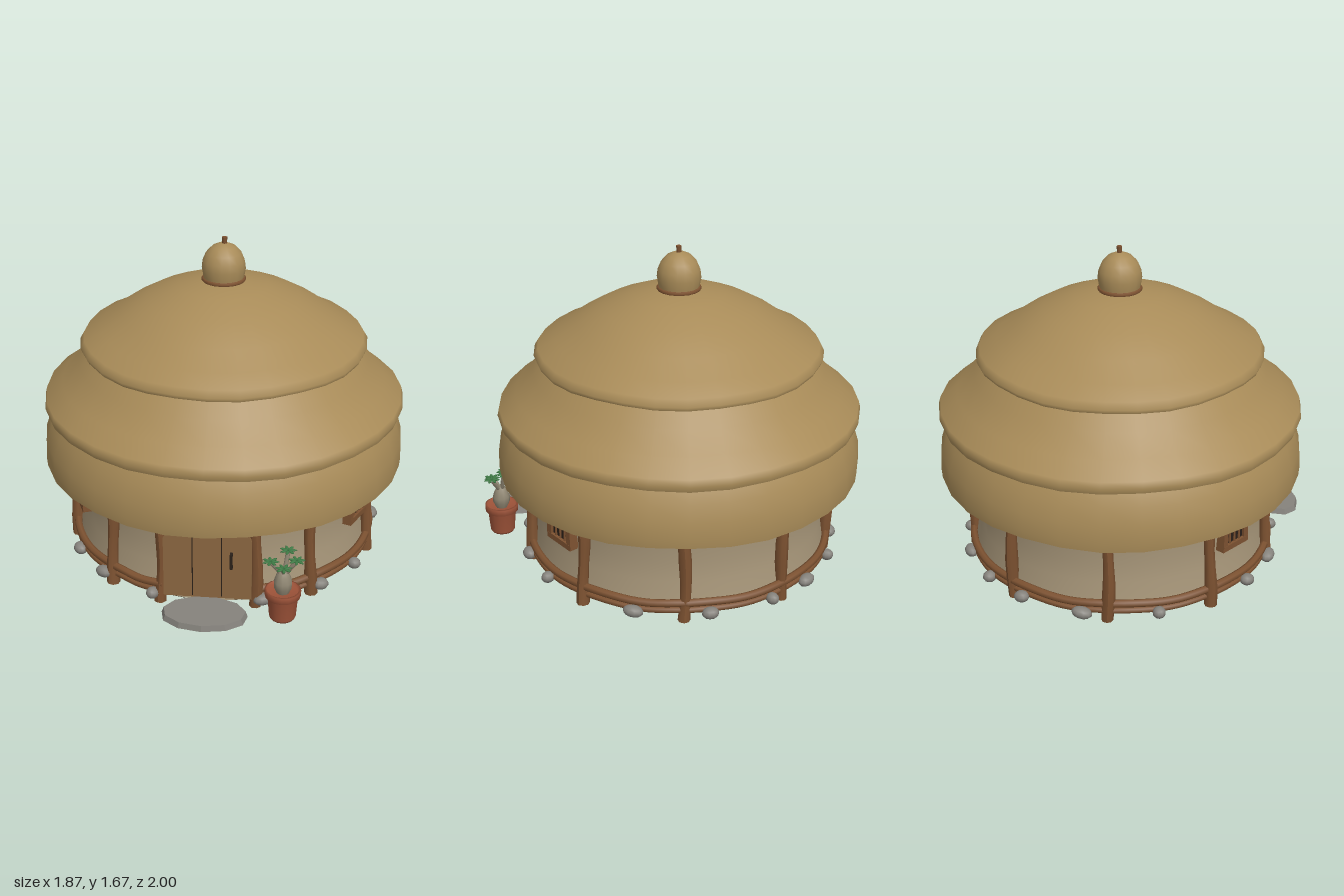
import * as THREE from 'three';
import { mergeVertices } from 'three/addons/utils/BufferGeometryUtils.js';

const mat = (color, extra = {}) => new THREE.MeshStandardMaterial({ color, ...extra });
const MAT = {
  thatch: mat(0xa88b58), under: mat(0x30261a, { side: THREE.DoubleSide }),
  clay: mat(0xa8977a), wood: mat(0x7d5231), door: mat(0x8a6640), dark: mat(0x2a2019),
  stone: mat(0x85827c), pot: mat(0x9c5238), trunk: mat(0x8f8672),
  leaf: mat(0x3f7a45, { side: THREE.DoubleSide }),
};
const rad = THREE.MathUtils.degToRad;
const V2 = (pts) => pts.map(([x, y]) => new THREE.Vector2(x, y));

function add(parent, name, geometry, material, x = 0, y = 0, z = 0) {
  const m = new THREE.Mesh(geometry, material);
  m.name = name;
  m.position.set(x, y, z);
  parent.add(m);
  return m;
}

// Group standing on the wall circle, facing outwards; angle measured from the front
function onCircle(parent, name, deg, radius, y = 0) {
  const g = new THREE.Group();
  g.name = name;
  const a = rad(deg);
  g.position.set(Math.sin(a) * radius, y, Math.cos(a) * radius);
  g.rotation.y = a;
  parent.add(g);
  return g;
}

// Lathe with a wavy, hand-cut lower edge
function wavyLathe(pts, rimY, phase) {
  const geo = new THREE.LatheGeometry(V2(pts), 30);
  const p = geo.attributes.position;
  for (let i = 0; i < p.count; i++) {
    const x = p.getX(i), y = p.getY(i), z = p.getZ(i);
    const a = Math.atan2(x, z);
    const w = Math.max(0, 1 - (y - rimY) / 0.2);
    const s = Math.sin(a * 7 + phase) * 0.6 + Math.sin(a * 4 + phase * 2) * 0.4;
    const k = 1 + 0.005 * s * w;
    p.setXYZ(i, x * k, y + 0.009 * s * w, z * k);
  }
  geo.deleteAttribute('uv');
  geo.deleteAttribute('normal');
  const merged = mergeVertices(geo, 1e-4);
  merged.computeVertexNormals();
  return merged;
}

// Three overlapping thatch tiers, each with a dark underside
function buildRoof(hut) {
  const tiers = [
    { name: 'lowerThatch', under: [[0.74, 0.56], [0.915, 0.49], [0.938, 0.485]],
      top: [[0.938, 0.485], [0.942, 0.53], [0.938, 0.62], [0.91, 0.71], [0.87, 0.8], [0.82, 0.86]] },
    { name: 'middleThatch', under: [[0.8, 0.84], [0.905, 0.79], [0.928, 0.787]],
      top: [[0.928, 0.787], [0.937, 0.815], [0.928, 0.85], [0.84, 0.92], [0.75, 1.02], [0.69, 1.1], [0.62, 1.17]] },
    { name: 'upperThatch', under: [[0.6, 1.15], [0.715, 1.1], [0.73, 1.105]],
      top: [[0.73, 1.105], [0.738, 1.125], [0.718, 1.16], [0.63, 1.205], [0.52, 1.285], [0.39, 1.36],
        [0.23, 1.425], [0.1, 1.447], [0, 1.45]] },
  ];
  tiers.forEach((t, i) => {
    const rim = t.top[0][1];
    add(hut, t.name, wavyLathe(t.top, rim, i * 1.7), MAT.thatch);
    add(hut, t.name + 'Underside', wavyLathe(t.under, rim, i * 1.7), MAT.under);
  });
  // Straw cap with a binding ring and a stem
  add(hut, 'roofCap', new THREE.LatheGeometry(V2([[0.1, 1.43], [0.105, 1.47], [0.112, 1.51], [0.107, 1.55],
    [0.09, 1.59], [0.06, 1.622], [0.025, 1.638], [0, 1.64]]), 16), MAT.thatch);
  const ring = add(hut, 'capBinding', new THREE.TorusGeometry(0.102, 0.012, 6, 20), MAT.wood, 0, 1.452, 0);
  ring.rotation.x = Math.PI / 2;
  add(hut, 'capStem', new THREE.CylinderGeometry(0.014, 0.012, 0.05, 7), MAT.wood, 0.004, 1.647, 0);
}

const POSTS = [17.5, 39.5, 80, 119, 158, 202, 241, 280, 320.5, 342.5];

// Slightly bent, uneven log post
function postGeometry(i) {
  const geo = new THREE.CylinderGeometry(0.028, 0.031, 0.54, 8, 5);
  geo.translate(0, 0.27, 0);
  const p = geo.attributes.position;
  for (let j = 0; j < p.count; j++) {
    const y = p.getY(j);
    const k = 1 + 0.12 * Math.sin(y * 14 + i);
    p.setX(j, p.getX(j) * k + 0.007 * Math.sin(y * 9 + i * 2));
    p.setZ(j, p.getZ(j) * k + 0.006 * Math.sin(y * 8 + i));
  }
  geo.computeVertexNormals();
  return geo;
}

// Curved log lying along the wall between two angles
function railGeometry(from, to, radius, y, thick, sag) {
  const pts = [];
  for (let i = 0; i <= 6; i++) {
    const a = rad(from + (to - from) * i / 6);
    pts.push(new THREE.Vector3(Math.sin(a) * radius, y + sag * Math.sin(i * 1.3), Math.cos(a) * radius));
  }
  return new THREE.TubeGeometry(new THREE.CatmullRomCurve3(pts), 12, thick, 7);
}

function buildWalls(hut) {
  add(hut, 'wall', new THREE.LatheGeometry(V2([[0.78, 0.035], [0.772, 0.1], [0.757, 0.2], [0.752, 0.3],
    [0.76, 0.42], [0.78, 0.58]]), 40), MAT.clay);
  const floor = add(hut, 'floor', new THREE.CircleGeometry(0.782, 40), MAT.under, 0, 0.036, 0);
  floor.rotation.x = Math.PI / 2;
  POSTS.forEach((deg, i) => {
    add(onCircle(hut, 'post', deg, 0.785), 'postLog', postGeometry(i), MAT.wood);
    if (i < POSTS.length - 1) {
      const to = POSTS[i + 1];
      add(hut, 'baseRail', railGeometry(deg - 1, to + 1, 0.79, 0.097, 0.02, 0.004), MAT.wood);
      add(hut, 'lowerRail', railGeometry(deg, to, 0.785, 0.055, 0.016, 0.003), MAT.wood);
    }
  });
  // Foundation stones
  [20, 43, 62, 101, 128, 152, 170].forEach((deg, i) => [1, -1].forEach((side) => {
    const g = onCircle(hut, 'foundationStone', deg * side, 0.815, 0.05);
    const s = add(g, 'stone', new THREE.SphereGeometry(1, 10, 7), MAT.stone);
    s.scale.set(0.043 + 0.012 * Math.sin(i * 2.1 + side), 0.03, 0.036);
    s.rotation.z = 0.15 * Math.sin(i * 3 + side);
  }));
}

// Barred window with a rough timber frame
function buildWindow(hut, deg) {
  const g = onCircle(hut, 'window', deg, 0.762, 0.355);
  add(g, 'windowOpening', new THREE.BoxGeometry(0.15, 0.13, 0.03), MAT.dark);
  [1, -1].forEach((s) => {
    const side = add(g, 'frameSide', new THREE.BoxGeometry(0.032, 0.16, 0.05), MAT.wood, s * 0.078, 0, 0.005);
    side.rotation.z = 0.05 * s;
    const bar = add(g, 'frameBeam', new THREE.BoxGeometry(0.19, 0.03, 0.05), MAT.wood, 0, s * 0.067, 0.006);
    bar.rotation.z = 0.04 * s;
  });
  [-0.036, 0, 0.036].forEach((x) =>
    add(g, 'windowBar', new THREE.CylinderGeometry(0.006, 0.006, 0.13, 6), MAT.wood, x, 0, 0.018));
}

// Arched plank door with handle
function buildDoor(hut) {
  const g = new THREE.Group();
  g.name = 'door';
  g.position.set(0, 0, 0.7);
  hut.add(g);
  const arch = new THREE.Shape();
  arch.moveTo(-0.22, 0.05);
  arch.lineTo(0.22, 0.05);
  arch.lineTo(0.22, 0.38);
  arch.bezierCurveTo(0.18, 0.52, -0.18, 0.52, -0.22, 0.38);
  add(g, 'doorPanel', new THREE.ExtrudeGeometry(arch, { depth: 0.08, bevelEnabled: false, curveSegments: 12 }), MAT.door);
  [-0.075, 0.07].forEach((x) => add(g, 'plankSeam', new THREE.BoxGeometry(0.005, 0.36, 0.004), MAT.dark, x, 0.24, 0.08));
  add(g, 'handle', new THREE.BoxGeometry(0.014, 0.08, 0.012), MAT.dark, 0.12, 0.275, 0.1);
  [0.24, 0.31].forEach((y) => add(g, 'handleMount', new THREE.BoxGeometry(0.014, 0.014, 0.025), MAT.dark, 0.12, y, 0.09));
  // Flat stone slab in front of the door
  const slab = add(hut, 'doorstep', new THREE.CylinderGeometry(0.95, 1, 0.03, 11), mat(0x85827c, { flatShading: true }), 0, 0.05, 0.925);
  slab.scale.set(0.215, 1, 0.135);
}

// Swollen-trunk plant in a clay pot
function buildPlant(hut) {
  const g = new THREE.Group();
  g.name = 'pottedPlant';
  g.position.set(0.38, 0.03, 0.88);
  hut.add(g);
  add(g, 'pot', new THREE.LatheGeometry(V2([[0, 0], [0.06, 0], [0.066, 0.012], [0.075, 0.12], [0.088, 0.125],
    [0.09, 0.158], [0.08, 0.16], [0.075, 0.145], [0, 0.142]]), 16), MAT.pot);
  add(g, 'trunk', new THREE.LatheGeometry(V2([[0.03, 0.14], [0.045, 0.175], [0.046, 0.205], [0.034, 0.24],
    [0.02, 0.265], [0, 0.275]]), 10), MAT.trunk);
  const tips = [[-0.06, 0.315, 0.015], [0.02, 0.35, -0.04], [0.065, 0.325, 0.01], [0.005, 0.3, 0.05]];
  tips.forEach(([x, y, z], n) => {
    const path = new THREE.CatmullRomCurve3([new THREE.Vector3(x * 0.1, 0.24, z * 0.1),
      new THREE.Vector3(x * 0.5, 0.28, z * 0.5), new THREE.Vector3(x, y, z)]);
    add(g, 'branch', new THREE.TubeGeometry(path, 6, 0.011, 6), MAT.trunk);
    for (let i = 0; i < 7; i++) {
      const a = i / 7 * Math.PI * 2 + n;
      const leaf = add(g, 'leaf', new THREE.SphereGeometry(1, 6, 4), MAT.leaf,
        x + Math.cos(a) * 0.022, y + 0.006, z - Math.sin(a) * 0.022);
      leaf.scale.set(0.022, 0.005, 0.009);
      leaf.rotation.y = a;
    }
  });
}

export function createModel() {
  const model = new THREE.Group();
  model.name = 'roundHut';
  const hut = new THREE.Group();
  hut.name = 'hut';
  hut.position.z = -0.06;
  model.add(hut);
  buildRoof(hut);
  buildWalls(hut);
  [67.5, -67.5].forEach((deg) => buildWindow(hut, deg));
  buildDoor(hut);
  buildPlant(hut);
  return model;
}
